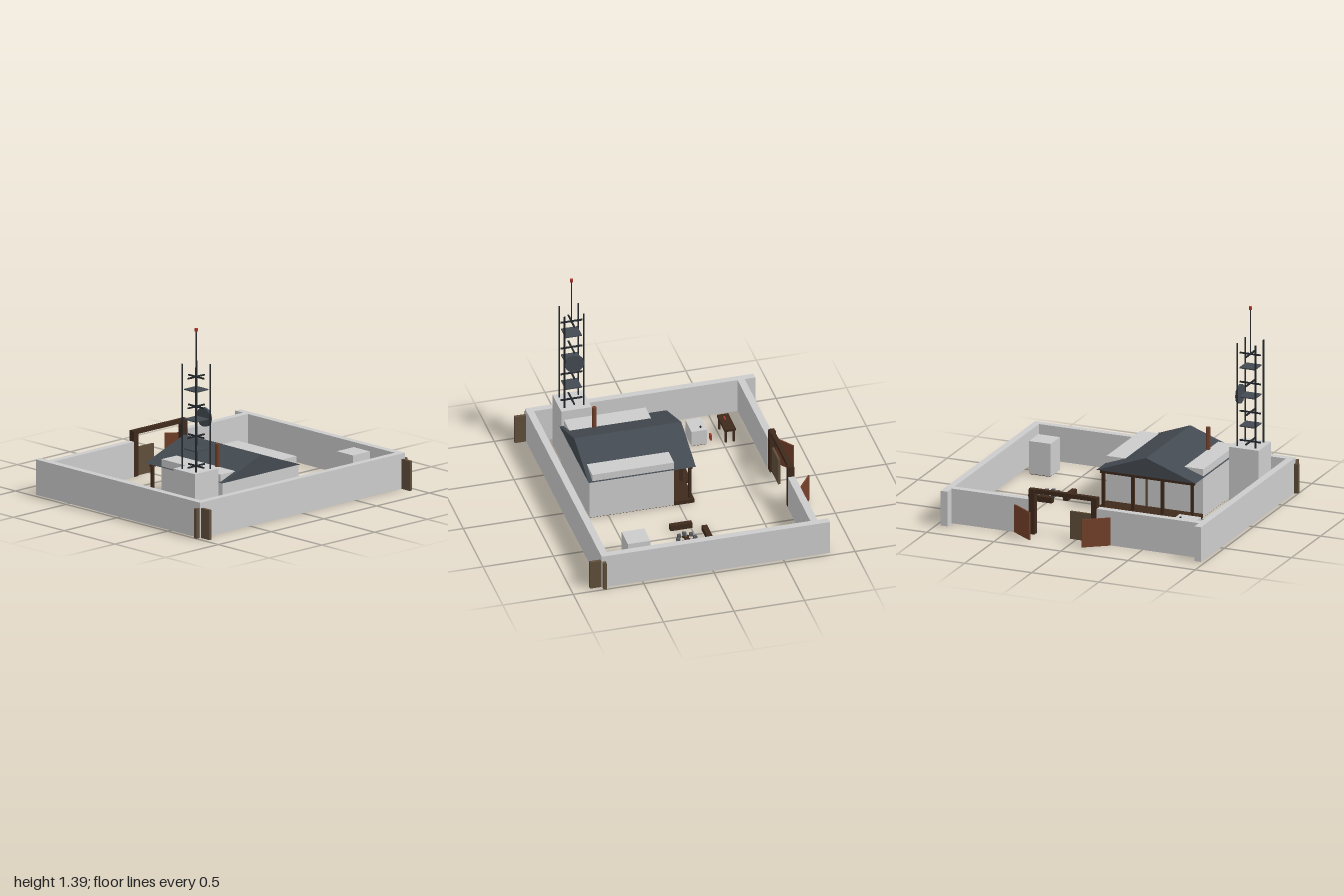
import * as THREE from 'three';

const mat = (color) => new THREE.MeshStandardMaterial({ color, flatShading: true });

export function createModel() {
  const model = new THREE.Group();
  const grey = mat(0xcccccc), wood = mat(0x3f2a1c), board = mat(0x5f4e3a), rust = mat(0x74402a);
  const slate = mat(0x434a51), steel = mat(0x24282c), red = mat(0xa83a2c), stone = mat(0x555a60);

  const add = (name, geometry, material, x, y, z, parent = model) => {
    const mesh = new THREE.Mesh(geometry, material);
    mesh.name = name;
    mesh.position.set(x, y, z);
    parent.add(mesh);
    return mesh;
  };
  // Box given by its limits on each axis
  const box = (name, material, x0, x1, y0, y1, z0, z1, parent) => add(name,
    new THREE.BoxGeometry(x1 - x0, y1 - y0, z1 - z0), material,
    (x0 + x1) / 2, (y0 + y1) / 2, (z0 + z1) / 2, parent);
  const rod = (name, material, r, y0, y1, x, z, sides = 8, parent = model) => add(name,
    new THREE.CylinderGeometry(r, r, y1 - y0, sides), material, x, (y0 + y1) / 2, z, parent);
  const group = (name) => {
    const g = new THREE.Group();
    g.name = name;
    model.add(g);
    return g;
  };

  // Perimeter wall, open at the back for the gate
  const walls = group('perimeterWall');
  box('frontWall', grey, -0.92, 0.92, 0, 0.25, 0.74, 0.79, walls);
  box('backWallRight', grey, -0.92, -0.16, 0, 0.25, -0.755, -0.705, walls);
  box('backWallLeft', grey, 0.35, 0.92, 0, 0.25, -0.755, -0.705, walls);
  for (const s of [-1, 1]) {
    const x = s * 0.945;
    box('sideWall', grey, x - 0.025, x + 0.025, 0, 0.25, -0.83, 0.79, walls);
    // Boards leaning on the front corners
    box('cornerBoard', board, s * 0.951 - 0.011, s * 0.951 + 0.011, 0, 0.21, 0.79, 0.87, walls);
    box('cornerBoardSide', board, s * 0.98 - 0.02, s * 0.98 + 0.02, 0, 0.21, 0.762, 0.785, walls);
  }

  // Gate frame, swung leaves and a loose panel
  const gate = group('gate');
  box('gateBeam', wood, -0.16, 0.35, 0.295, 0.325, -0.745, -0.715, gate);
  for (const x of [-0.137, 0.327]) box('gatePost', wood, x - 0.022, x + 0.022, 0, 0.322, -0.752, -0.708, gate);
  for (const s of [-1, 1]) {
    const leaf = box('gateLeaf', rust, -0.1, 0.1, 0, 0.2, -0.005, 0.005, gate);
    leaf.position.set(0.095 + s * 0.275, 0.1, -0.812);
    leaf.rotation.y = -s * Math.atan2(0.115, 0.16);
  }
  box('gatePanel', board, -0.115, 0.045, 0, 0.2, -0.737, -0.722, gate);

  // House with gabled roof
  const house = group('house');
  box('houseBody', grey, -0.61, 0.11, 0.005, 0.35, 0.035, 0.615, house);
  box('frontFace', grey, -0.61, 0.11, 0.005, 0.295, 0.615, 0.635, house);
  box('floorDeck', wood, -0.61, 0.11, 0, 0.03, -0.11, 0.03, house);
  box('houseBase', wood, -0.605, 0.105, 0, 0.02, 0.03, 0.63, house);
  box('step', wood, -0.36, -0.14, 0, 0.018, -0.16, -0.11, house);
  const gable = new THREE.Shape([[-0.37, 0], [0.37, 0], [0, 0.135]].map((p) => new THREE.Vector2(...p)));
  add('roof', new THREE.ExtrudeGeometry(gable, { depth: 0.76, bevelEnabled: false }), slate, -0.25, 0.295, -0.117, house);
  for (const x of [-0.58, -0.36, -0.14, 0.08]) {
    box('porchPost', wood, x - 0.01, x + 0.01, 0.03, 0.295, -0.095, -0.075, house);
  }
  box('porchBeam', wood, -0.6, 0.1, 0.27, 0.295, -0.097, -0.073, house);
  for (const x of [-0.31, -0.19]) box('doorJamb', board, x - 0.007, x + 0.007, 0.03, 0.24, 0.025, 0.035, house);
  box('doorLintel', board, -0.317, -0.183, 0.24, 0.253, 0.025, 0.035, house);
  rod('chimneyPipe', rust, 0.016, 0.3, 0.51, -0.47, 0.44, 8, house);

  // Radio tower
  const tower = group('radioTower');
  box('towerBase', grey, -0.86, -0.64, 0, 0.4, 0.41, 0.625, tower);
  const tx = -0.75, tz = 0.522;
  for (const dx of [-0.068, 0.068]) for (const dz of [-0.068, 0.068]) {
    rod('towerLeg', steel, 0.006, 0.4, 1.14, tx + dx, tz + dz, 6, tower);
  }
  for (const y of [0.42, 0.63, 0.84, 1.05]) {
    box('crossBarX', steel, tx - 0.078, tx + 0.078, y - 0.005, y + 0.005, tz - 0.005, tz + 0.005, tower);
    box('crossBarZ', steel, tx - 0.005, tx + 0.005, y - 0.005, y + 0.005, tz - 0.078, tz + 0.078, tower);
  }
  for (const y of [0.54, 0.75, 0.96]) {
    box('towerPlate', slate, tx - 0.058, tx + 0.058, y - 0.004, y + 0.004, tz - 0.058, tz + 0.058, tower);
  }
  rod('mast', steel, 0.004, 1.05, 1.37, tx, tz, 6, tower);
  rod('beacon', red, 0.011, 1.37, 1.392, tx, tz, 8, tower);
  const dish = rod('dish', slate, 0.068, -0.009, 0.009, 0, 0, 12, tower);
  dish.position.set(-0.674, 0.752, tz);
  dish.rotation.z = Math.PI / 2;

  // Yard storage
  box('storageBlock', grey, 0.69, 0.85, 0.005, 0.24, 0.41, 0.57);
  box('storageBase', wood, 0.695, 0.845, 0, 0.006, 0.415, 0.565);
  box('crate', grey, -0.73, -0.57, 0.006, 0.12, -0.39, -0.28);
  box('crateBase', board, -0.725, -0.575, 0, 0.006, -0.385, -0.285);
  rod('crateKnob', steel, 0.006, 0.12, 0.13, -0.61, -0.355);
  box('canister', red, -0.6, -0.565, 0.03, 0.07, -0.425, -0.412);

  // Work table
  const table = group('workTable');
  box('tableTop', wood, -0.75, -0.55, 0.09, 0.108, -0.59, -0.51, table);
  for (const x of [-0.735, -0.565]) for (const z of [-0.578, -0.522]) {
    box('tableLeg', wood, x - 0.007, x + 0.007, 0, 0.09, z - 0.007, z + 0.007, table);
  }
  box('tool', red, -0.71, -0.67, 0.108, 0.118, -0.553, -0.543, table);

  // Campfire ring with benches
  const camp = group('campfire');
  for (let i = 0; i < 8; i++) {
    const a = (i * Math.PI) / 4;
    add('ringStone', new THREE.BoxGeometry(0.024, 0.022, 0.024), stone,
      0.547 + 0.06 * Math.cos(a), 0.011, 0.068 + 0.06 * Math.sin(a), camp);
  }
  for (const a of [0.6, -0.6]) {
    add('firewood', new THREE.BoxGeometry(0.07, 0.013, 0.013), wood, 0.547, 0.012, 0.068, camp).rotation.y = a;
  }
  box('benchBack', wood, 0.46, 0.635, 0, 0.04, -0.1, -0.063, camp);
  box('benchSide', wood, 0.378, 0.415, 0, 0.04, -0.01, 0.147, camp);

  return model;
}
